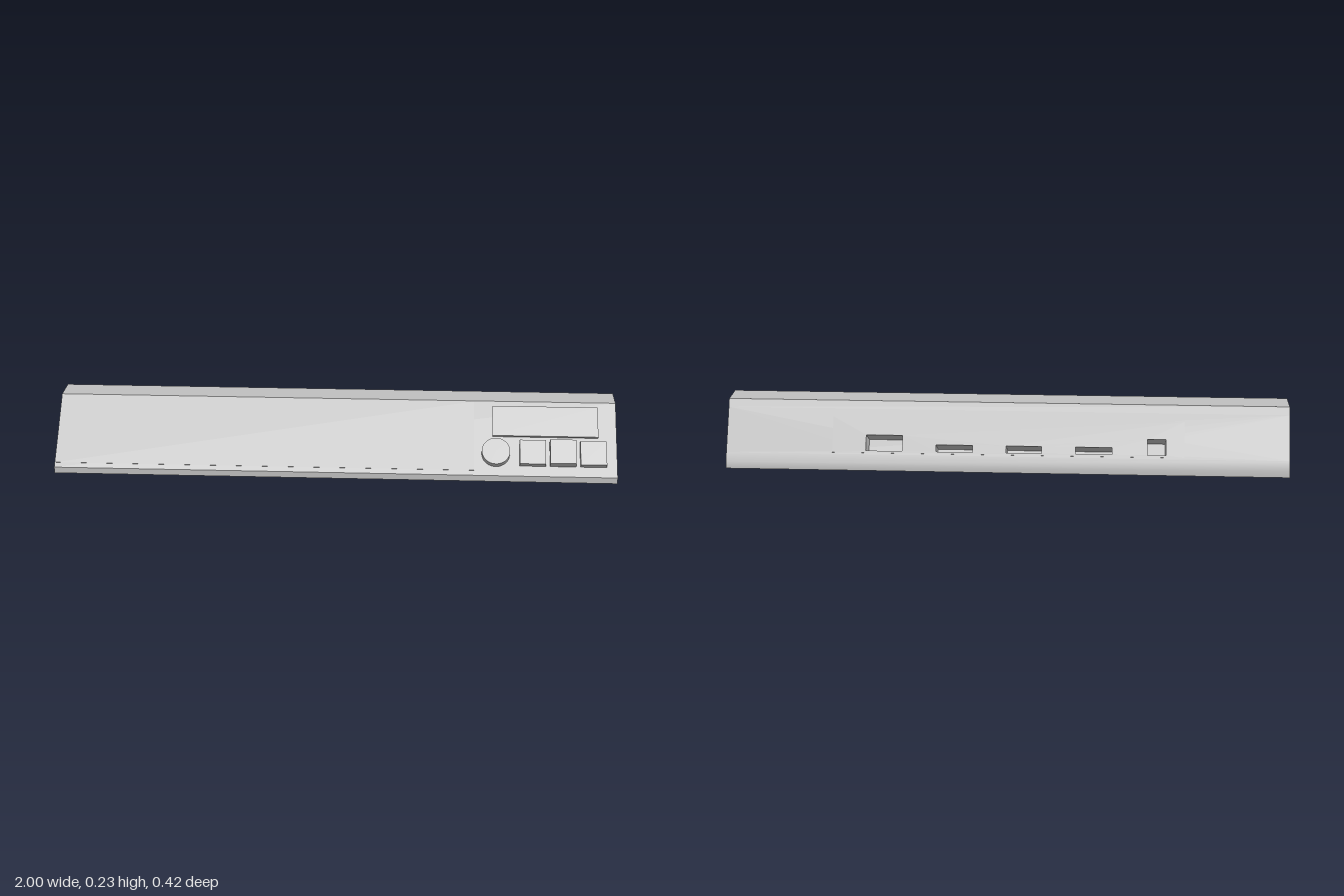
import * as THREE from 'three';
import { toCreasedNormals } from 'three/addons/utils/BufferGeometryUtils.js';

const LENGTH = 2;
const POCKET = 0.09;               // depth of the rear sockets
const TILT = Math.atan2(0.11, 0.202); // lean of the rear face
const SLAB = [0.035, 0.2];         // socket slab extent up the rear face

export function createModel() {
  const model = new THREE.Group();
  const grey = new THREE.MeshStandardMaterial({ color: 0xc0c0c0 });
  grey.name = 'light grey';

  const add = (parent, name, geometry, x = 0, y = 0, z = 0) => {
    const mesh = new THREE.Mesh(geometry, grey);
    mesh.name = name;
    mesh.position.set(x, y, z);
    parent.add(mesh);
    return mesh;
  };

  // Point on the rear face: s up the slope, d inwards, as (-z, y)
  const rear = (s, d) => new THREE.Vector2(
    0.21 - s * Math.sin(TILT) - d * Math.cos(TILT),
    0.03 + s * Math.cos(TILT) - d * Math.sin(TILT));

  // Wedge housing, notched at the rear to take the socket slab
  const profile = new THREE.Shape([
    new THREE.Vector2(-0.21, 0.005), new THREE.Vector2(0.21, 0.005),
    rear(0, 0), rear(SLAB[0], 0), rear(SLAB[0], POCKET),
    rear(SLAB[1], POCKET), rear(SLAB[1], 0),
    new THREE.Vector2(0.1, 0.232), new THREE.Vector2(-0.005, 0.232),
    new THREE.Vector2(-0.21, 0.027),
  ]);
  const body = new THREE.ExtrudeGeometry(profile, { depth: LENGTH, bevelEnabled: false });
  body.translate(0, 0, -LENGTH / 2).rotateY(Math.PI / 2);
  add(model, 'housing', toCreasedNormals(body, 0.6));

  // Rear sockets: [x from, x to, bottom, top] on the rear face
  const sockets = [
    [-0.565, -0.5, 0.048, 0.105],
    [-0.375, -0.245, 0.048, 0.073],
    [-0.125, 0, 0.048, 0.073],
    [0.12, 0.25, 0.048, 0.073],
    [0.37, 0.5, 0.048, 0.105],
  ];
  const rectangle = (Type, x0, x1, y0, y1) => new Type([
    new THREE.Vector2(-x1, y0), new THREE.Vector2(-x0, y0),
    new THREE.Vector2(-x0, y1), new THREE.Vector2(-x1, y1),
  ]);
  const pierced = (x0, x1, y0, y1, depth) => {
    const shape = rectangle(THREE.Shape, x0, x1, y0, y1);
    shape.holes = sockets.map((s) => rectangle(THREE.Path, ...s));
    return new THREE.ExtrudeGeometry(shape, { depth, bevelEnabled: false });
  };
  const back = new THREE.Group();
  back.name = 'rearFace';
  back.position.set(0, 0.03, -0.21);
  back.rotation.set(-TILT, Math.PI, 0, 'YXZ');
  model.add(back);
  add(back, 'socketSlab', pierced(-1, 1, ...SLAB, POCKET), 0, 0, -POCKET);
  add(back, 'socketPanel', pierced(-0.63, 0.62, 0.04, 0.17, 0.001));

  // Sloping front, with its origin at the centre of the button row
  const front = new THREE.Group();
  front.name = 'frontFace';
  front.position.set(0, 0.087, 0.15);
  front.rotation.x = -Math.PI / 4;
  model.add(front);
  const block = (name, x0, x1, y0, y1, height) => add(front, name,
    new THREE.BoxGeometry(x1 - x0, y1 - y0, height + 0.004),
    (x0 + x1) / 2, (y0 + y1) / 2, height / 2 - 0.002);

  block('frontPanel', -0.995, 0.495, -0.066, 0.203, 0.001);
  block('display', 0.56, 0.935, 0.066, 0.182, 0.0105);

  // Three push buttons, the middle one standing higher
  [[0.656, 0.022], [0.763, 0.03], [0.87, 0.022]].forEach(([x, height], i) =>
    block('button' + (i + 1), x, x + 0.092, -0.046, 0.046, height));

  // Round knob whose shaft runs down through the base
  const knob = new THREE.CylinderGeometry(0.05, 0.05, 0.098, 48).rotateX(Math.PI / 2);
  add(front, 'knob', knob, 0.572, 0, -0.024);

  return model;
}
